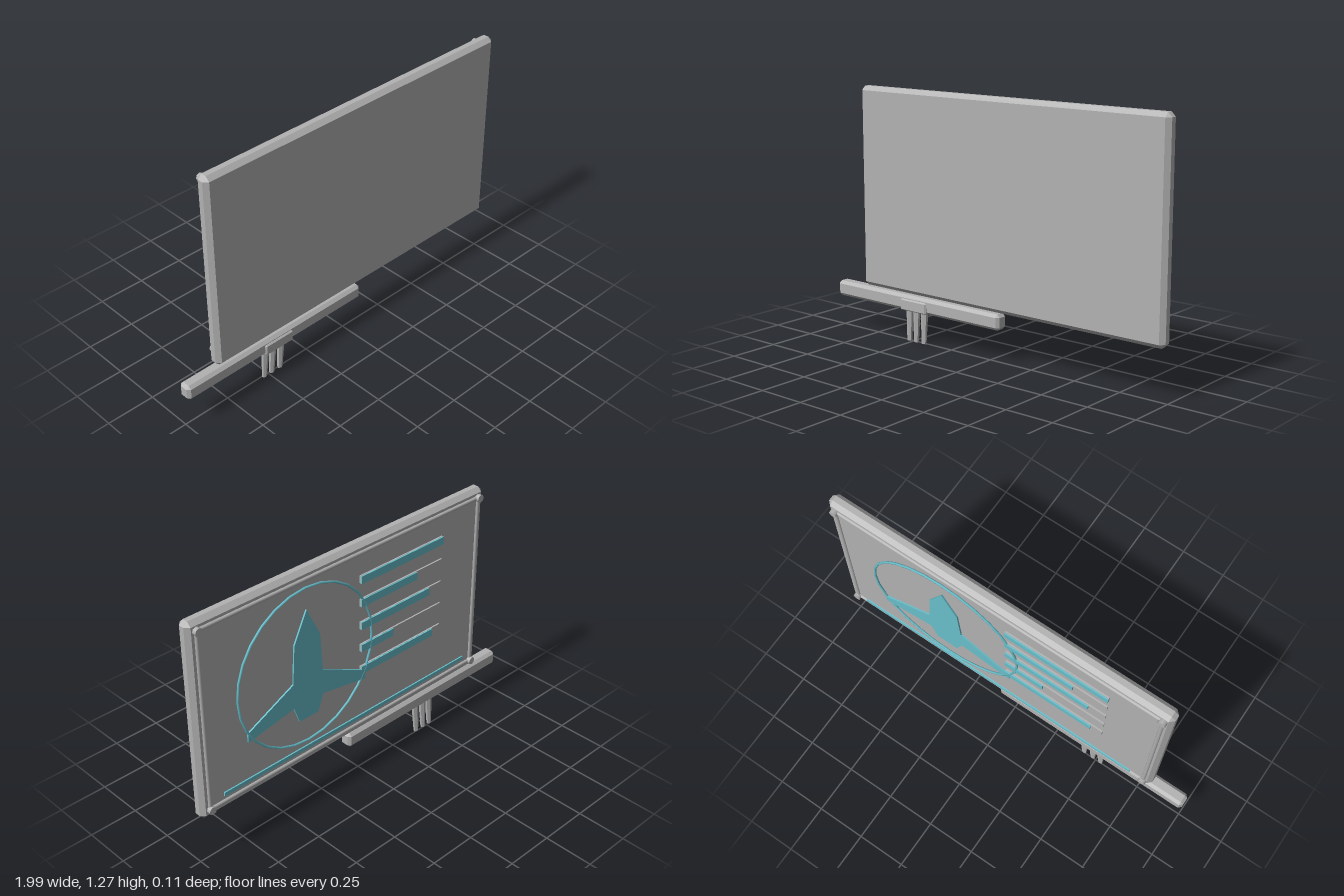
import * as THREE from 'three';
import { ConvexGeometry } from 'three/addons/geometries/ConvexGeometry.js';

const grey = new THREE.MeshStandardMaterial({ color: 0xb2b2b2 });
grey.name = 'grey metal';
const teal = new THREE.MeshStandardMaterial({ color: 0x69c0cc });
teal.name = 'teal display';

// Box from min to max corner with every edge cut by c
function chamferBox([x0, y0, z0], [x1, y1, z1], c) {
  const half = [(x1 - x0) / 2, (y1 - y0) / 2, (z1 - z0) / 2];
  const points = [];
  for (const sx of [-1, 1]) for (const sy of [-1, 1]) for (const sz of [-1, 1])
    for (let axis = 0; axis < 3; axis++) {
      const p = half.map((h, i) => (i === axis ? h : h - c));
      points.push(new THREE.Vector3(p[0] * sx, p[1] * sy, p[2] * sz));
    }
  return new ConvexGeometry(points).translate((x0 + x1) / 2, (y0 + y1) / 2, (z0 + z1) / 2);
}

function box([x0, y0, z0], [x1, y1, z1]) {
  return new THREE.BoxGeometry(x1 - x0, y1 - y0, z1 - z0)
    .translate((x0 + x1) / 2, (y0 + y1) / 2, (z0 + z1) / 2);
}

export function createModel() {
  const model = new THREE.Group();
  model.name = 'displayPanel';
  const add = (name, geometry, material = grey) => {
    const mesh = new THREE.Mesh(geometry, material);
    mesh.name = name;
    model.add(mesh);
    return mesh;
  };

  // Main slab, support arm and clamp
  add('panel', chamferBox([-0.818, 0.25, -0.032], [0.992, 1.275, 0.038], 0.021));
  add('supportArm', chamferBox([-1, 0.165, -0.025], [0.082, 0.245, 0.044], 0.015));
  add('clamp', chamferBox([-0.545, 0.167, 0.0], [-0.375, 0.226, 0.053], 0.006));

  // Three tapered prongs leaning slightly to one side
  for (const x of [-0.516, -0.47, -0.418]) {
    const prong = new THREE.CylinderGeometry(0.021, 0.014, 0.17, 6).toNonIndexed();
    const pos = prong.attributes.position;
    for (let i = 0; i < pos.count; i++) {
      const down = 0.5 - pos.getY(i) / 0.17;
      pos.setX(i, pos.getX(i) - 0.009 * down);
      pos.setZ(i, pos.getZ(i) * 0.75 - 0.004 * down);
    }
    prong.computeVertexNormals();
    add('prong', prong.translate(x, 0.085, 0.01));
  }

  // Corner studs and the rods joining them on the back
  const left = 0.946, right = -0.775, top = 1.23, bottom = 0.297;
  for (const x of [left, right]) for (const y of [top, bottom])
    add('cornerStud', new THREE.CylinderGeometry(0.02, 0.02, 0.025, 8)
      .rotateX(Math.PI / 2).translate(x, y, -0.0405));
  for (const y of [top, bottom])
    add('horizontalRod', new THREE.CylinderGeometry(0.011, 0.011, left - right, 8)
      .rotateZ(Math.PI / 2).translate((left + right) / 2, y, -0.031));
  for (const x of [left, right])
    add('verticalRod', new THREE.CylinderGeometry(0.011, 0.011, top - bottom, 8)
      .translate(x, (top + bottom) / 2, -0.031));

  // Ring
  add('displayRing', new THREE.TorusGeometry(0.406, 0.006, 6, 28)
    .translate(0.363, 0.793, -0.047), teal);

  // Aircraft outline, mirrored about its own centre line
  const side = [[0.077, 0.935], [0.09, 0.735], [0.362, 0.605], [0.362, 0.558],
    [0.09, 0.605], [0.058, 0.518]];
  const outline = [[0, 1.09], ...side, ...side.map(([x, y]) => [-x, y]).reverse()];
  const shape = new THREE.Shape(outline.map(([x, y]) => new THREE.Vector2(x + 0.363, y)));
  add('aircraftShape', new THREE.ExtrudeGeometry(shape, { depth: 0.008, bevelEnabled: false })
    .translate(0, 0, -0.052), teal);

  // Gauge bars: grey track with a teal fill
  const ends = [-0.52, -0.342, -0.431, -0.187, -0.459];
  ends.forEach((end, i) => {
    const y = 1.1 - i * 0.122;
    add('gaugeTrack', box([-0.52, y - 0.02, -0.044], [0.024, y + 0.02, -0.036]));
    add('gaugeFill', box([end, y - 0.02, -0.052], [0.024, y + 0.02, -0.045]), teal);
  });

  // Long line along the bottom
  add('baseLine', box([-0.703, 0.34, -0.052], [0.875, 0.36, -0.045]), teal);

  return model;
}
